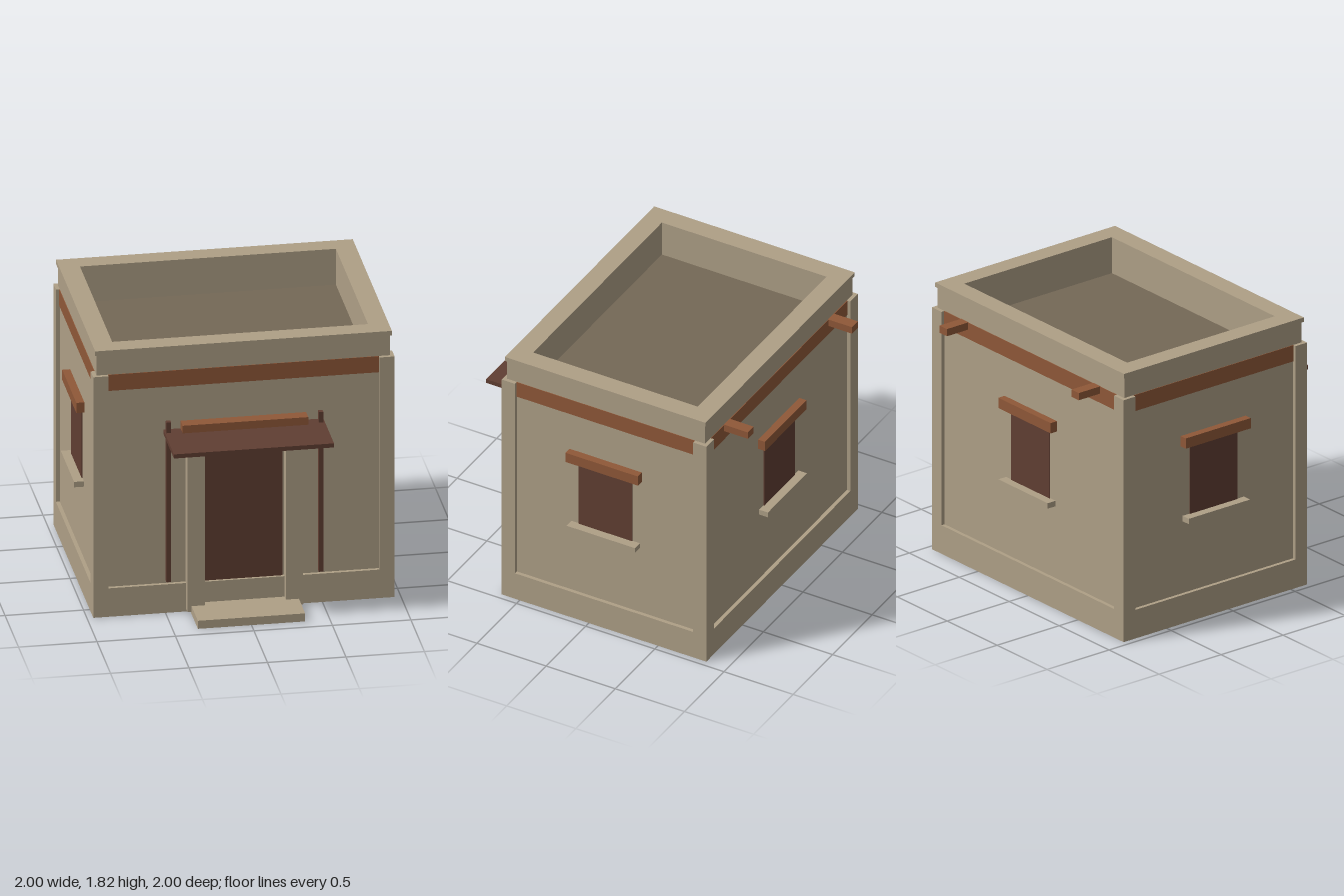
import * as THREE from 'three';

const mat = (name, color) => {
  const m = new THREE.MeshStandardMaterial({ color });
  m.name = name;
  return m;
};

export function createModel() {
  const model = new THREE.Group();
  model.name = 'adobeHouse';
  const clay = mat('clay', 0xae9f86);
  const timber = mat('timber', 0x8f5838);
  const darkWood = mat('darkWood', 0x603e32);
  const roofEarth = mat('roofEarth', 0x746856);

  // Box given by its low and high limits on each axis
  const box = (name, material, [x0, x1], [y0, y1], [z0, z1], parent = model) => {
    const mesh = new THREE.Mesh(new THREE.BoxGeometry(x1 - x0, y1 - y0, z1 - z0), material);
    mesh.position.set((x0 + x1) / 2, (y0 + y1) / 2, (z0 + z1) / 2);
    mesh.name = name;
    parent.add(mesh);
    return mesh;
  };

  // Rectangular ring with an open middle, centred on the house
  const midZ = -0.11;
  const ring = (name, halfX, halfZ, holeX, holeZ, y0, y1) => {
    const corners = (a, b) => [[-a, -b], [a, -b], [a, b], [-a, b]].map(p => new THREE.Vector2(...p));
    const shape = new THREE.Shape(corners(halfX, halfZ));
    shape.holes.push(new THREE.Path(corners(holeX, holeZ)));
    const geo = new THREE.ExtrudeGeometry(shape, { depth: y1 - y0, bevelEnabled: false });
    geo.rotateX(-Math.PI / 2);
    const mesh = new THREE.Mesh(geo, clay);
    mesh.position.set(0, y0, midZ);
    mesh.name = name;
    model.add(mesh);
  };

  // Walls: hollow plinth, recessed wall block, corner piers
  ring('plinth', 0.96, 0.74, 0.93, 0.71, 0, 0.195);
  box('walls', clay, [-0.935, 0.935], [0.19, 1.57], [-0.825, 0.605]);
  for (const s of [-1, 1]) {
    const xs = s > 0 ? [0.863, 0.96] : [-0.96, -0.863];
    box('cornerPier', clay, xs, [0.195, 1.65], [0.535, 0.63]);
    box('cornerPier', clay, xs, [0.195, 1.65], [-0.85, -0.755]);
  }

  // Parapet, its cap and the sunken roof
  ring('parapet', 0.935, 0.715, 0.815, 0.595, 1.57, 1.79);
  ring('parapetCap', 0.945, 0.725, 0.815, 0.595, 1.79, 1.82);
  box('roofDeck', roofEarth, [-0.815, 0.815], [1.568, 1.575], [-0.705, 0.485]);

  // Timber band under the parapet
  box('frontBand', timber, [-0.863, 0.863], [1.54, 1.65], [0.6, 0.609]);
  box('backBand', timber, [-0.863, 0.863], [1.54, 1.65], [-0.829, -0.82]);
  for (const s of [-1, 1])
    box('sideBand', timber, s > 0 ? [0.93, 0.939] : [-0.939, -0.93], [1.54, 1.65], [-0.755, 0.535]);

  // Window built facing +z with its wall at z = 0
  const addWindow = (name, x, z, turn) => {
    const g = new THREE.Group();
    g.name = name;
    box('windowPane', darkWood, [-0.193, 0.193], [0.72, 1.2], [-0.002, 0.006], g);
    box('windowLintel', timber, [-0.262, 0.262], [1.2, 1.27], [-0.01, 0.051], g);
    box('windowSill', clay, [-0.247, 0.247], [0.685, 0.722], [-0.01, 0.063], g);
    g.position.set(x, 0, z);
    g.rotation.y = turn;
    model.add(g);
  };
  addWindow('leftWindow', 0.935, -0.108, Math.PI / 2);
  addWindow('rightWindow', -0.935, -0.108, -Math.PI / 2);
  addWindow('backWindow', 0, -0.825, Math.PI);

  // Roof beams jutting from the back
  for (const x of [-0.66, 0.66])
    box('roofBeam', timber, [x - 0.037, x + 0.037], [1.603, 1.652], [-1, -0.8]);

  // Doorway
  box('door', darkWood, [-0.247, 0.247], [0.08, 1.13], [0.585, 0.612]);
  for (const s of [-1, 1]) {
    box('doorJamb', clay, s > 0 ? [0.258, 0.368] : [-0.368, -0.258], [0.015, 1.18], [0.6, 0.678]);
    box('awningPost', darkWood, s > 0 ? [0.47, 0.5] : [-0.5, -0.47], [0.225, 1.32], [0.635, 0.667]);
  }
  box('doorLintel', timber, [-0.4, 0.4], [1.18, 1.3], [0.6, 0.686]);
  box('awning', darkWood, [-0.51, 0.51], [1.22, 1.248], [0.6, 1]);
  box('doorStep', clay, [-0.342, 0.342], [0, 0.055], [0.62, 0.91]);

  return model;
}
